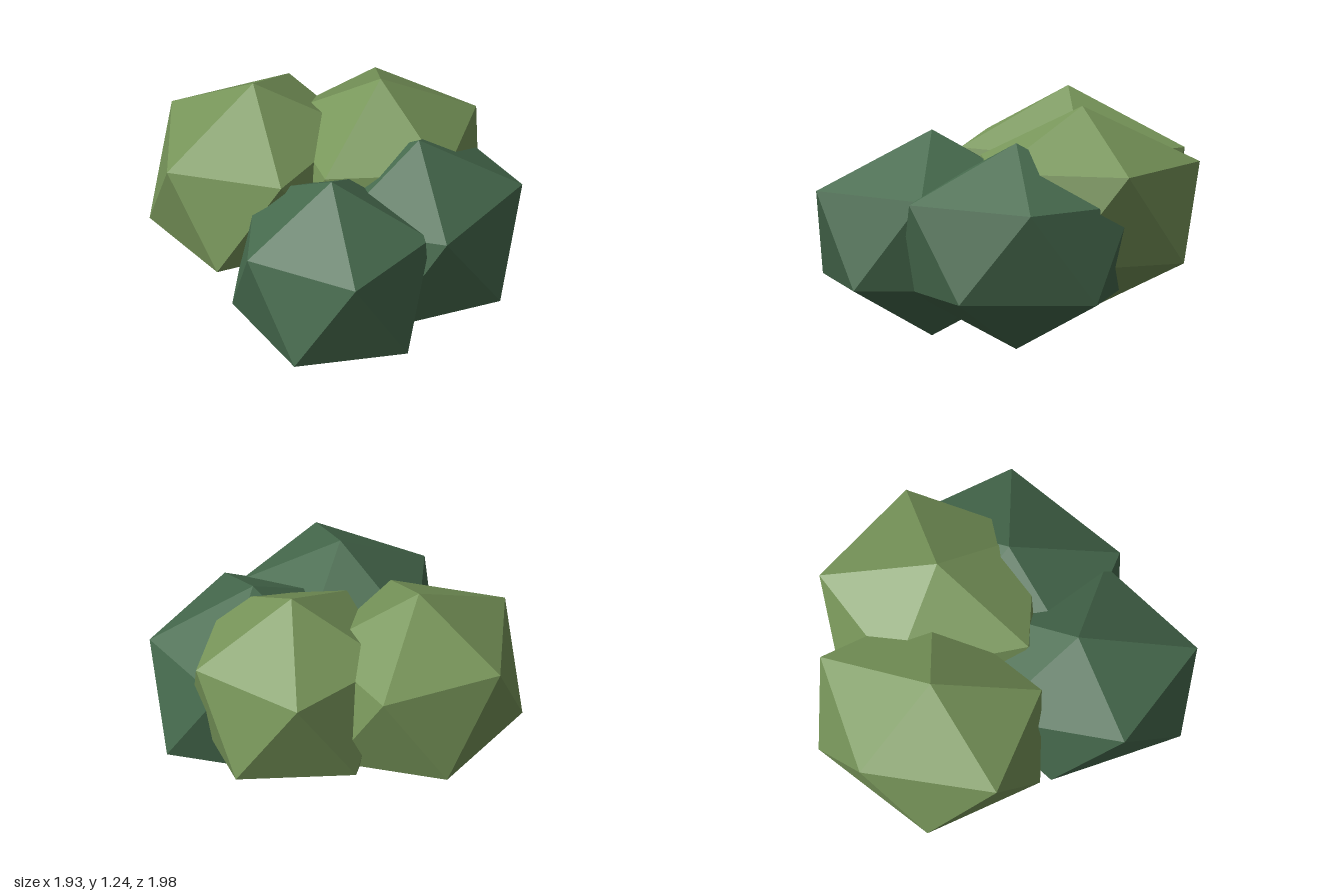
import * as THREE from 'three';

// Icosahedron on its tip: a and b are the horizontal [x, z] axes of its upper
// five-point ring, h is the half height; the lower ring is the upper one inverted.
function clumpGeometry(a, b, h) {
  const upper = [], lower = [];
  for (let k = 0; k < 5; k++) {
    const t = (k * Math.PI * 2) / 5, c = Math.cos(t), s = Math.sin(t);
    upper.push([a[0] * c + b[0] * s, h / Math.sqrt(5), a[1] * c + b[1] * s]);
  }
  for (let k = 0; k < 5; k++) lower.push(upper[(k + 3) % 5].map((v) => -v));

  const top = [0, h, 0], bottom = [0, -h, 0], corners = [];
  for (let k = 0; k < 5; k++) {
    const n = (k + 1) % 5;
    corners.push(top, upper[n], upper[k]);
    corners.push(upper[k], upper[n], lower[k]);
    corners.push(lower[k], upper[n], lower[n]);
    corners.push(bottom, lower[k], lower[n]);
  }
  const geometry = new THREE.BufferGeometry();
  geometry.setAttribute('position', new THREE.Float32BufferAttribute(corners.flat(), 3));
  geometry.computeVertexNormals();
  return geometry;
}

export function createModel() {
  const group = new THREE.Group();
  group.name = 'bush';

  const light = new THREE.MeshStandardMaterial({ color: 0x78965a, flatShading: true });
  light.name = 'light leaf green';
  const dark = new THREE.MeshStandardMaterial({ color: 0x476b4e, flatShading: true });
  dark.name = 'dark leaf green';

  // Four overlapping leaf clumps: two low dark ones, two raised light ones
  const clumps = [
    ['frontClump', dark, [-0.02, 0.54, 0.39], [0.514, 0.076], [-0.032, 0.611]],
    ['leftClump', dark, [0.43, 0.54, -0.03], [0.535, -0.055], [-0.018, 0.607]],
    ['backRightClump', light, [-0.43, 0.70, -0.33], [0.535, -0.055], [-0.018, 0.61]],
    ['backLeftClump', light, [0.23, 0.70, -0.38], [0.493, -0.224], [0.194, 0.568]],
  ];
  for (const [name, material, position, a, b] of clumps) {
    const mesh = new THREE.Mesh(clumpGeometry(a, b, 0.54), material);
    mesh.name = name;
    mesh.position.set(...position);
    group.add(mesh);
  }
  return group;
}
